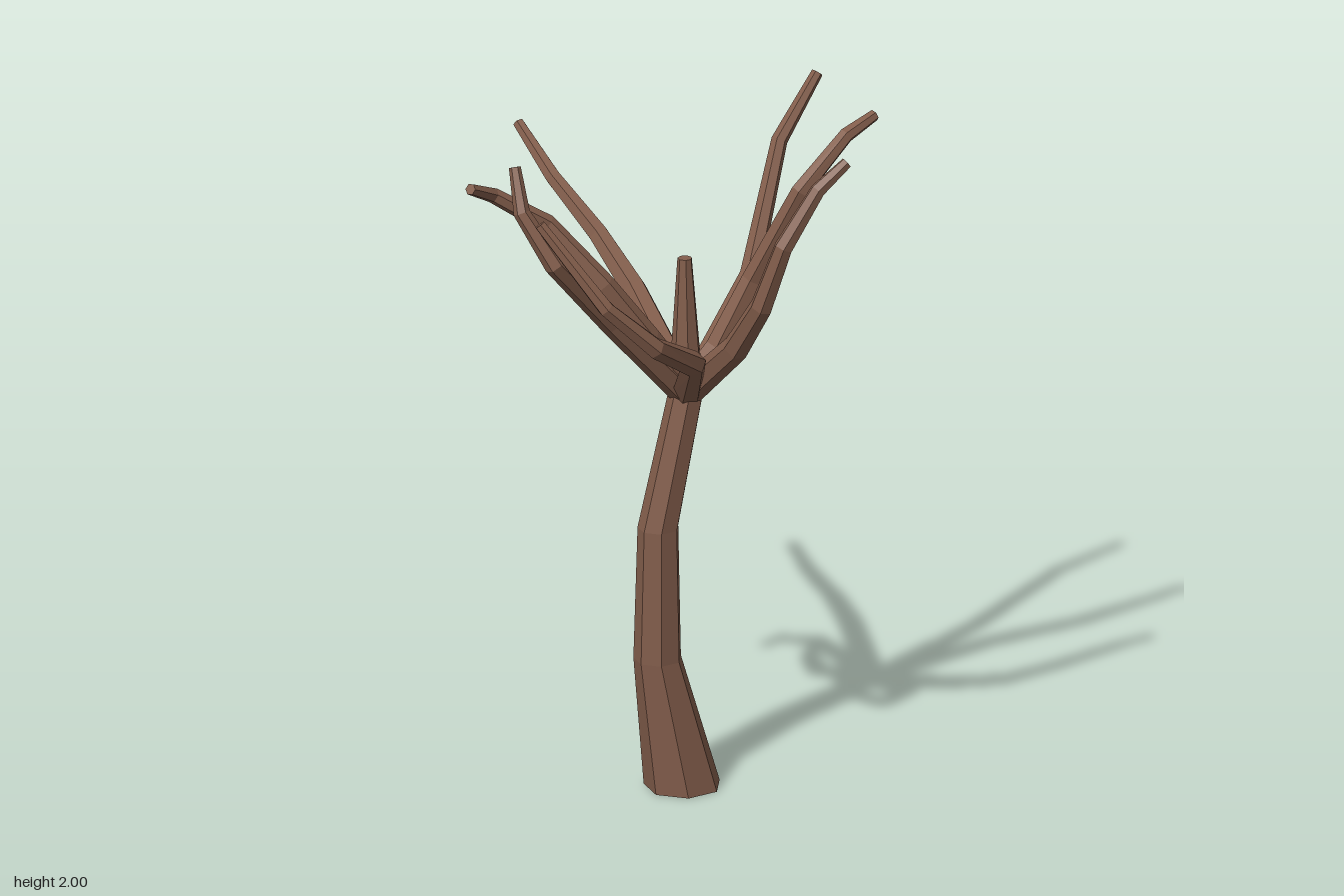
import * as THREE from 'three';

const V = (p) => new THREE.Vector3(...p);

// Faceted tapering limb through [x, y, z, radius] stations, capped at both ends
function limbGeometry(stations, sides, levelRings = false) {
  const pts = stations.map((s) => V(s.slice(0, 3)));
  const last = pts.length - 1;
  let u = new THREE.Vector3(1, 0, 0);
  const rings = pts.map((p, i) => {
    const before = p.clone().sub(pts[Math.max(i - 1, 0)]).normalize();
    const after = pts[Math.min(i + 1, last)].clone().sub(p).normalize();
    const t = levelRings ? V([0, 1, 0]) : before.add(after).normalize();
    u = u.clone().addScaledVector(t, -u.dot(t)).normalize();
    const v = t.clone().cross(u);
    return Array.from({ length: sides }, (_, j) => {
      const a = (j / sides) * Math.PI * 2;
      return p.clone()
        .addScaledVector(u, Math.cos(a) * stations[i][3])
        .addScaledVector(v, Math.sin(a) * stations[i][3]);
    });
  });

  const out = [];
  const tri = (...corners) => corners.forEach((c) => out.push(c.x, c.y, c.z));
  for (let j = 0; j < sides; j++) {
    const k = (j + 1) % sides;
    for (let i = 0; i < last; i++) {
      tri(rings[i][j], rings[i][k], rings[i + 1][k]);
      tri(rings[i][j], rings[i + 1][k], rings[i + 1][j]);
    }
    tri(pts[0], rings[0][k], rings[0][j]);
    tri(pts[last], rings[last][j], rings[last][k]);
  }
  const geometry = new THREE.BufferGeometry();
  geometry.setAttribute('position', new THREE.Float32BufferAttribute(out, 3));
  geometry.computeVertexNormals();
  return geometry;
}

export function createModel() {
  const group = new THREE.Group();
  const bark = new THREE.MeshStandardMaterial({ color: 0x825d4b, flatShading: true });
  bark.name = 'bark';

  const add = (name, geometry) => {
    const mesh = new THREE.Mesh(geometry, bark);
    mesh.name = name;
    group.add(mesh);
  };

  // Bent trunk, ending in a short upright spike
  add('trunk', limbGeometry([
    [0.045, 0, 0.195, 0.112],
    [-0.035, 0.4, 0.205, 0.07],
    [-0.035, 0.8, 0.21, 0.06],
    [0.05, 1.2, 0.21, 0.052],
    [0.045, 1.61, 0.21, 0.021],
  ], 7, true));

  // Branches fan out from the fork, each given by its bends after the fork
  const fork = [0.05, 1.2, 0.21];
  const branches = {
    backBranch: [[0.02, 1.4, -0.13], [-0.03, 1.52, -0.28], [-0.11, 1.65, -0.43], [-0.15, 1.76, -0.6]],
    leftBackBranch: [[0.15, 1.29, 0.15], [0.31, 1.46, 0.04], [0.455, 1.8, -0.105], [0.59, 1.97, -0.155]],
    leftBranch: [[0.15, 1.32, 0.2], [0.25, 1.52, 0.215], [0.365, 1.8, 0.295], [0.51, 1.945, 0.28], [0.61, 1.98, 0.245]],
    leftFrontBranch: [[0.12, 1.4, 0.42], [0.155, 1.56, 0.53], [0.205, 1.75, 0.575], [0.31, 1.91, 0.575], [0.4, 1.98, 0.57]],
    rightFrontBranch: [[-0.01, 1.37, 0.42], [-0.17, 1.48, 0.535], [-0.32, 1.62, 0.535], [-0.48, 1.86, 0.425]],
    rightLowBranch: [[-0.2, 1.47, 0.27], [-0.405, 1.7, 0.35], [-0.485, 1.85, 0.295], [-0.485, 1.97, 0.24]],
    rightBranch: [[-0.08, 1.39, 0.24], [-0.21, 1.57, 0.225], [-0.355, 1.75, 0.155], [-0.515, 1.855, 0.145], [-0.605, 1.905, 0.2]],
  };
  for (const [name, bends] of Object.entries(branches)) {
    const path = [fork, ...bends];
    const stations = path.map((p, i) => [...p, 0.045 - 0.028 * (i / (path.length - 1))]);
    add(name, limbGeometry(stations, 6));
  }
  return group;
}
